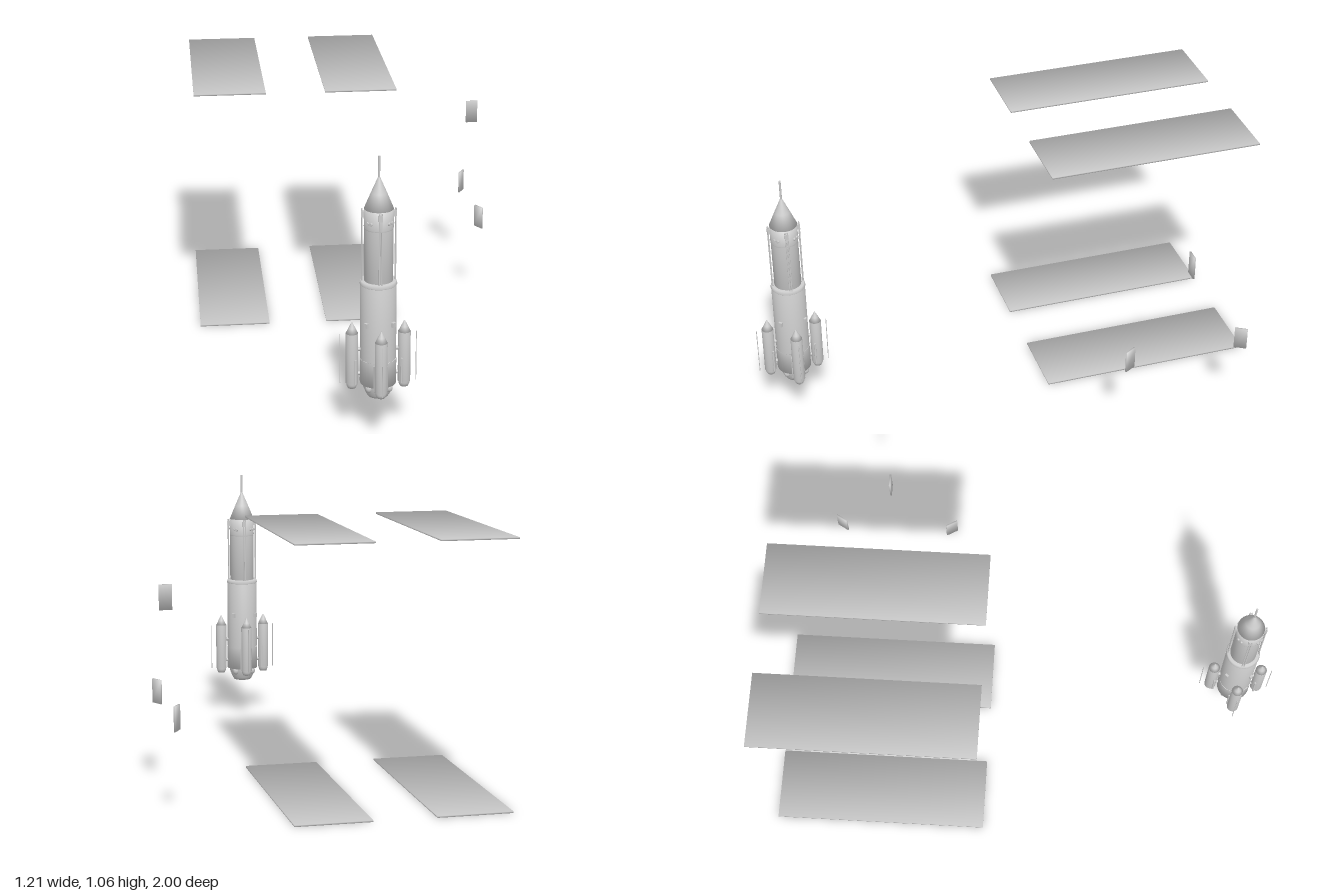
import * as THREE from 'three';

const paint = new THREE.MeshStandardMaterial({ color: 0xcccccc });
paint.name = 'light grey';

function add(parent, name, geometry, x = 0, y = 0, z = 0) {
  const mesh = new THREE.Mesh(geometry, paint);
  mesh.name = name;
  mesh.position.set(x, y, z);
  parent.add(mesh);
  return mesh;
}

// Turned part from [radius, height] pairs listed bottom to top
function turned(points, sides = 32) {
  return new THREE.LatheGeometry(points.map(([r, y]) => new THREE.Vector2(r, y)), sides);
}

// Upright rod between two heights
function rod(parent, name, r, y0, y1, x, z) {
  return add(parent, name, new THREE.CylinderGeometry(r, r, y1 - y0, 10), x, (y0 + y1) / 2, z);
}

// Thin slab with soft corner normals
function slab(w, h, d) {
  const geometry = new THREE.BoxGeometry(w, h, d);
  const p = geometry.attributes.position;
  for (let i = 0; i < p.count; i++) {
    const n = new THREE.Vector3(Math.sign(p.getX(i)), Math.sign(p.getY(i)), Math.sign(p.getZ(i))).normalize();
    geometry.attributes.normal.setXYZ(i, n.x, n.y, n.z);
  }
  return geometry;
}

function createRocket() {
  const rocket = new THREE.Group();
  rocket.name = 'rocket';

  // Core stages
  add(rocket, 'mainNozzle', turned([[0, 0.147], [0.037, 0.147], [0.044, 0.158], [0.054, 0.182], [0.056, 0.2]]));
  add(rocket, 'engineSkirt', turned([[0, 0.2], [0.066, 0.2], [0.066, 0.296]]));
  add(rocket, 'lowerStage', turned([[0.065, 0.296], [0.065, 0.583], [0, 0.583]]));
  add(rocket, 'stageCollar', turned([[0.063, 0.58], [0.067, 0.585], [0.063, 0.598], [0, 0.598]]));
  add(rocket, 'upperStage', turned([[0, 0.59], [0.052, 0.59], [0.052, 0.796]]));
  add(rocket, 'upperBand', turned([[0.052, 0.794], [0.053, 0.798], [0.053, 0.867], [0, 0.867]]));
  add(rocket, 'noseCone', turned([[0, 0.866], [0.053, 0.866], [0.0285, 0.925], [0.004, 0.982], [0, 0.986]]));
  rod(rocket, 'noseSpike', 0.004, 0.98, 1.06, 0, 0);

  for (let i = 0; i < 4; i++) {
    // Booster side, facing +x before turning
    const side = new THREE.Group();
    side.name = 'boosterSide';
    side.rotation.y = i * Math.PI / 2;
    rocket.add(side);
    add(side, 'booster', turned([[0, 0.2], [0.023, 0.2], [0.023, 0.394], [0, 0.394]], 24), 0.095);
    add(side, 'boosterCone', turned([[0, 0.392], [0.023, 0.392], [0.0125, 0.414], [0.002, 0.436], [0, 0.437]], 24), 0.095);
    add(side, 'boosterNozzle', turned([[0, 0.18], [0.015, 0.18], [0.02, 0.192], [0.02, 0.202]], 24), 0.095);
    rod(side, 'outerRod', 0.0015, 0.2, 0.392, 0.1385, 0);
    for (const s of [-1, 1]) rod(side, 'boosterPipe', 0.004, 0.2, 0.297, 0.084, s * 0.022);
    for (const y of [0.235, 0.33]) {
      add(side, 'strut', new THREE.CylinderGeometry(0.007, 0.007, 0.024, 10), 0.07, y).rotation.z = Math.PI / 2;
    }
    // Upper stage pipe pair and its cap
    for (const s of [-1, 1]) rod(side, 'upperPipe', 0.0025, 0.595, 0.867, 0.06, s * 0.004);
    add(side, 'pipeBracket', new THREE.BoxGeometry(0.012, 0.022, 0.014), 0.057, 0.848);

    // Fittings on the diagonals
    const corner = new THREE.Group();
    corner.name = 'cornerFittings';
    corner.rotation.y = (i + 0.5) * Math.PI / 2;
    rocket.add(corner);
    add(corner, 'pod', new THREE.BoxGeometry(0.012, 0.018, 0.014), 0.068, 0.441);
    add(corner, 'smallNozzle', new THREE.SphereGeometry(0.013, 14, 10), 0.052, 0.19).scale.y = 1.3;
    for (const s of [-1, 1]) {
      const knob = add(corner, 'knob', new THREE.CylinderGeometry(0.006, 0.006, 0.01, 12), 0.053, 0.822, s * 0.008);
      knob.rotation.z = Math.PI / 2;
    }
  }
  rocket.position.set(0.011, 0, 0.86);
  return rocket;
}

export function createModel() {
  const model = new THREE.Group();
  model.name = 'rocketAndPanels';
  model.add(createRocket());

  // Four long flat panels in two layers
  for (const x of [-0.465, 0.058]) {
    for (const y of [0.004, 0.996]) add(model, 'longPanel', slab(0.286, 0.006, 0.853), x, y === 0.004 ? 0.003 : y, -0.5735);
  }

  // Three small upright plates
  add(model, 'upperPlate', slab(0.048, 0.094, 0.006), 0.581, 0.762, -0.575);
  for (const s of [-1, 1]) {
    const plate = add(model, 'lowerPlate', slab(0.05, 0.092, 0.006), 0.581, 0.367, -0.575 + s * 0.23);
    plate.rotation.y = -s * Math.PI / 3;
  }
  return model;
}
